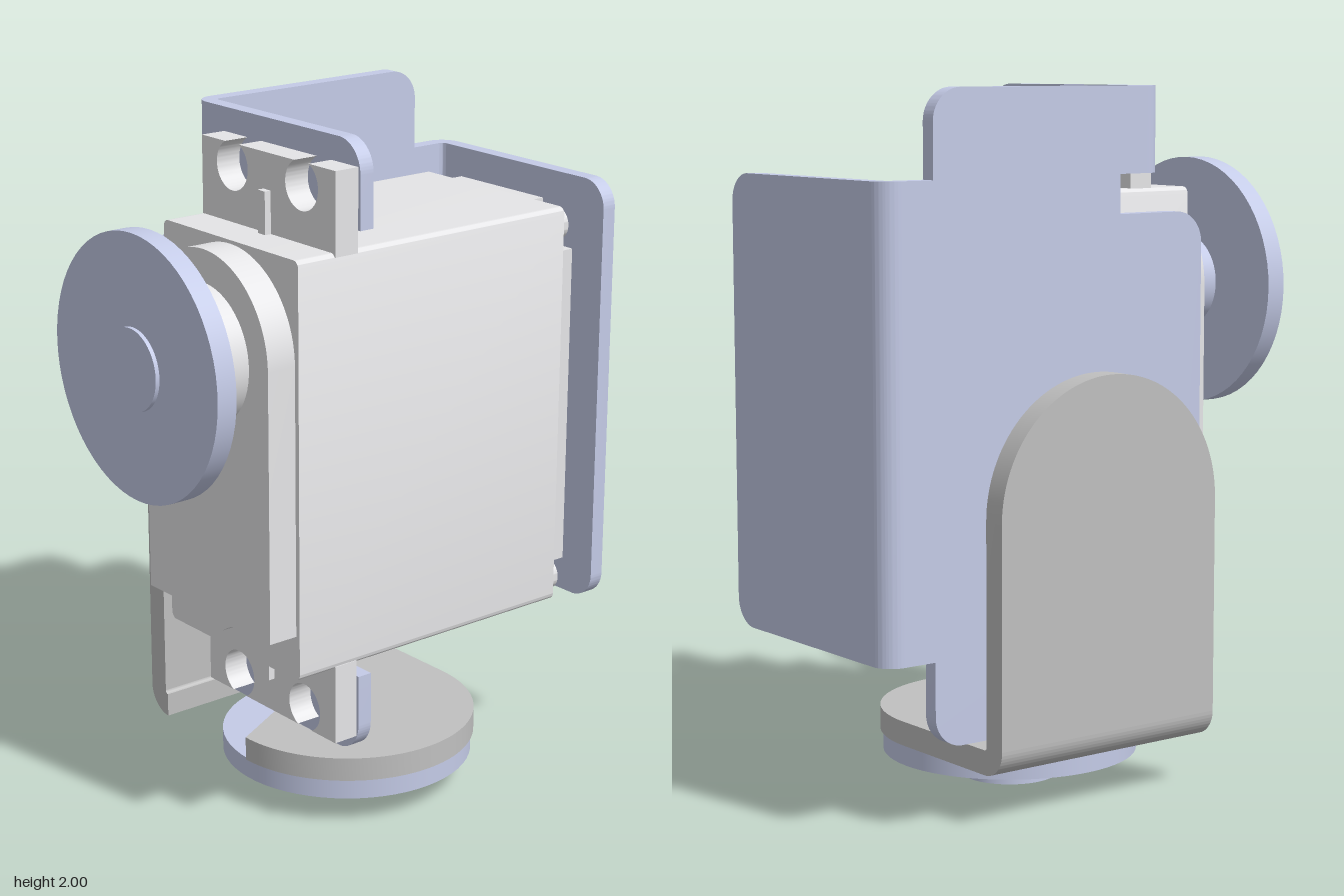
import * as THREE from 'three';
import { toCreasedNormals } from 'three/addons/utils/BufferGeometryUtils.js';

const mat = (name, color) => new THREE.MeshStandardMaterial({ name, color });

// Closed outline from [x, y, cornerRadius] points, corners drawn as quarter arcs
function outline(points) {
  const s = new THREE.Shape();
  const n = points.length;
  points.forEach(([x, y, r = 0], i) => {
    const p = new THREE.Vector2(x, y);
    const toward = (q, d) => p.clone().add(new THREE.Vector2(q[0] - x, q[1] - y).setLength(d));
    const prev = points[(i + n - 1) % n], next = points[(i + 1) % n];
    const a = toward(prev, r), b = toward(next, r);
    if (i === 0) s.moveTo(a.x, a.y); else s.lineTo(a.x, a.y);
    if (r > 0) {
      const c = toward(prev, r * 0.448), d = toward(next, r * 0.448);
      s.bezierCurveTo(c.x, c.y, d.x, d.y, b.x, b.y);
    }
  });
  s.closePath();
  return s;
}

const rect = (x0, y0, x1, y1, r = 0) => outline([[x0, y0, r], [x1, y0, r], [x1, y1, r], [x0, y1, r]]);

// Quarter of a ring, used for the sheet bends
function quarterRing(cx, cy, inner, outer, start) {
  const s = new THREE.Shape();
  s.absarc(cx, cy, outer, start, start + Math.PI / 2, false);
  s.absarc(cx, cy, inner, start + Math.PI / 2, start, true);
  s.closePath();
  return s;
}

// Extrude between two positions along an axis.
// z: shape is (x, y); x: shape is (-z, y); y: shape is (x, -z)
function slab(shape, axis, from, to) {
  let g = new THREE.ExtrudeGeometry(shape, { depth: to - from, bevelEnabled: false, curveSegments: 32 });
  g.translate(0, 0, from);
  if (axis === 'x') g.rotateY(Math.PI / 2);
  if (axis === 'y') g.rotateX(-Math.PI / 2);
  return toCreasedNormals(g, 0.5);
}

function disc(radius, axis, from, to, a, b) {
  const g = new THREE.CylinderGeometry(radius, radius, to - from, 64);
  if (axis === 'z') g.rotateX(Math.PI / 2).translate(a, b, (from + to) / 2);
  else g.translate(a, (from + to) / 2, b);
  return g;
}

export function createModel() {
  const model = new THREE.Group();
  const body = mat('light grey plastic', 0xe6e6e8);
  const blue = mat('pale blue metal', 0xcad1ee);
  const grey = mat('grey metal', 0xc0c0c0);

  const group = (name) => {
    const g = new THREE.Group();
    g.name = name;
    model.add(g);
    return g;
  };
  const add = (parent, name, geometry, material) => {
    const m = new THREE.Mesh(geometry, material);
    m.name = name;
    parent.add(m);
    return m;
  };

  // Motor housing, with notched corners on its back cover
  const motor = group('motor');
  const X0 = -0.235, X1 = 0.365, Y0 = 0.52, Y1 = 1.71, N = 0.125;
  add(motor, 'housing', slab(rect(X0, Y0, X1, Y1, 0.02), 'z', -0.545, 0.41), body);
  add(motor, 'backCover', slab(outline([
    [X0 + N, Y0], [X1 - N, Y0], [X1 - N, Y0 + N, 0.04], [X1, Y0 + N],
    [X1, Y1 - N], [X1 - N, Y1 - N, 0.04], [X1 - N, Y1], [X0 + N, Y1],
    [X0 + N, Y1 - N, 0.04], [X0, Y1 - N], [X0, Y0 + N], [X0 + N, Y0 + N, 0.04],
  ]), 'z', -0.58, -0.545), body);

  // Cross-head screws in the four notches
  const head = new THREE.Shape().absarc(0, 0, 0.047, 0, Math.PI * 2);
  const a = 0.008, b = 0.03;
  head.holes.push(outline([
    [a, a], [a, b], [-a, b], [-a, a], [-b, a], [-b, -a],
    [-a, -a], [-a, -b], [a, -b], [a, -a], [b, -a], [b, a],
  ]));
  const headGeometry = slab(head, 'z', -0.575, -0.545);
  for (const x of [X0 + 0.06, X1 - 0.06]) {
    for (const y of [Y0 + 0.06, Y1 - 0.06]) {
      add(motor, 'screw', headGeometry, body).position.set(x, y, 0);
    }
  }

  // Raised gear cover: round at the top, small lobe at the bottom
  const cover = new THREE.Shape();
  cover.moveTo(-0.21, 0.65);
  cover.lineTo(-0.06, 0.65);
  cover.bezierCurveTo(-0.01, 0.65, 0.0, 0.605, 0.07, 0.605);
  cover.bezierCurveTo(0.14, 0.605, 0.15, 0.65, 0.2, 0.65);
  cover.lineTo(0.35, 0.65);
  cover.lineTo(0.35, 1.42);
  cover.absarc(0.07, 1.42, 0.28, 0, Math.PI, false);
  cover.closePath();
  add(motor, 'gearCover', slab(cover, 'z', 0.4, 0.5), body);
  add(motor, 'shaftCollar', disc(0.198, 'z', 0.49, 0.558, 0.07, 1.41), body);

  // Mounting ears with open screw holes and a stiffening rib
  const ear = new THREE.Shape();
  const half = 0.293, hole = 0.07, open = Math.asin(0.9);
  ear.moveTo(-half, -0.01);
  ear.lineTo(half, -0.01);
  ear.lineTo(half, 0.222);
  for (const c of [0.15, -0.155]) {
    ear.absarc(c, 0.222 - 0.063, hole, open, Math.PI - open, true);
  }
  ear.lineTo(-half, 0.222);
  ear.closePath();
  const earGeometry = slab(ear, 'z', 0.208, 0.285);
  const ribGeometry = slab(rect(-0.016, -0.01, 0.016, 0.12), 'z', 0.28, 0.305);
  for (const [y, turn] of [[Y1, 0], [Y0, Math.PI]]) {
    const g = new THREE.Group();
    g.name = 'mountingEar';
    g.position.set(0.072, y, 0);
    g.rotation.z = turn;
    add(g, 'earPlate', earGeometry, body);
    add(g, 'earRib', ribGeometry, body);
    motor.add(g);
  }

  // Output horn at the front
  const horn = group('frontHorn');
  add(horn, 'hornHub', disc(0.138, 'z', 0.59, 0.67, 0.07, 1.41), blue);
  add(horn, 'hornDisc', disc(0.37, 'z', 0.67, 0.73, 0.07, 1.41), blue);
  add(horn, 'hornBoss', disc(0.115, 'z', 0.73, 0.742, 0.07, 1.41), blue);
  add(horn, 'hornSpline', disc(0.038, 'z', 0.578, 0.592, 0.02, 1.455), blue);

  // Bent sheet bracket around the motor: side plate, back flange, two front flanges
  const bracket = group('motorBracket');
  add(bracket, 'sidePlate', slab(outline([
    [-0.145, 0.24], [0.58, 0.24, 0.09], [0.58, 0.48], [0.68, 0.48], [0.68, 1.76],
    [0.58, 1.76], [0.58, 2, 0.09], [-0.145, 2], [-0.145, 1.76], [-0.05, 1.76],
    [-0.05, 1.65], [-0.345, 1.65, 0.09], [-0.345, 0.58, 0.09], [-0.05, 0.58],
    [-0.05, 0.48], [-0.145, 0.48],
  ]), 'x', -0.37, -0.325), blue);
  add(bracket, 'backFlange', slab(outline([
    [-0.31, 0.48], [0.37, 0.48, 0.08], [0.37, 1.76, 0.08], [-0.31, 1.76],
  ]), 'z', -0.74, -0.695), blue);
  add(bracket, 'backBend', slab(quarterRing(-0.31, 0.68, 0.015, 0.06, Math.PI / 2), 'y', 0.48, 1.76), blue);
  for (const [inner, outer] of [[1.76, 2], [0.48, 0.24]]) {
    const pts = [[-0.31, inner], [0.37, inner], [0.37, outer, 0.09], [-0.31, outer]];
    add(bracket, 'frontFlange', slab(outline(pts), 'z', 0.16, 0.205), blue);
    add(bracket, 'frontBend', slab(quarterRing(-0.31, -0.145, 0.015, 0.06, Math.PI),
      'y', Math.min(inner, outer), Math.max(inner, outer)), blue);
  }

  // L-shaped base bracket with rounded ends
  const base = group('baseBracket');
  const cz = -0.033, R = 0.378;
  const upright = new THREE.Shape();
  upright.moveTo(-cz - R, 0.22);
  upright.lineTo(-cz + R, 0.22);
  upright.absarc(-cz, 1.22 - R, R, 0, Math.PI, false);
  upright.closePath();
  add(base, 'upright', slab(upright, 'x', -0.44, -0.37), grey);
  const foot = new THREE.Shape();
  foot.moveTo(-0.36, -cz - R);
  foot.absarc(0.027, -cz, R, -Math.PI / 2, Math.PI / 2, false);
  foot.lineTo(-0.36, -cz + R);
  foot.closePath();
  add(base, 'foot', slab(foot, 'y', 0.14, 0.21), grey);
  add(base, 'footBend', slab(quarterRing(-0.36, 0.22, 0.01, 0.08, Math.PI), 'z', cz - R, cz + R), grey);

  // Horn under the base bracket
  const lower = group('lowerHorn');
  add(lower, 'hornDisc', disc(0.37, 'y', 0.08, 0.14, 0.027, cz), blue);
  add(lower, 'hornHub', disc(0.138, 'y', 0, 0.08, 0.027, cz), blue);

  return model;
}
